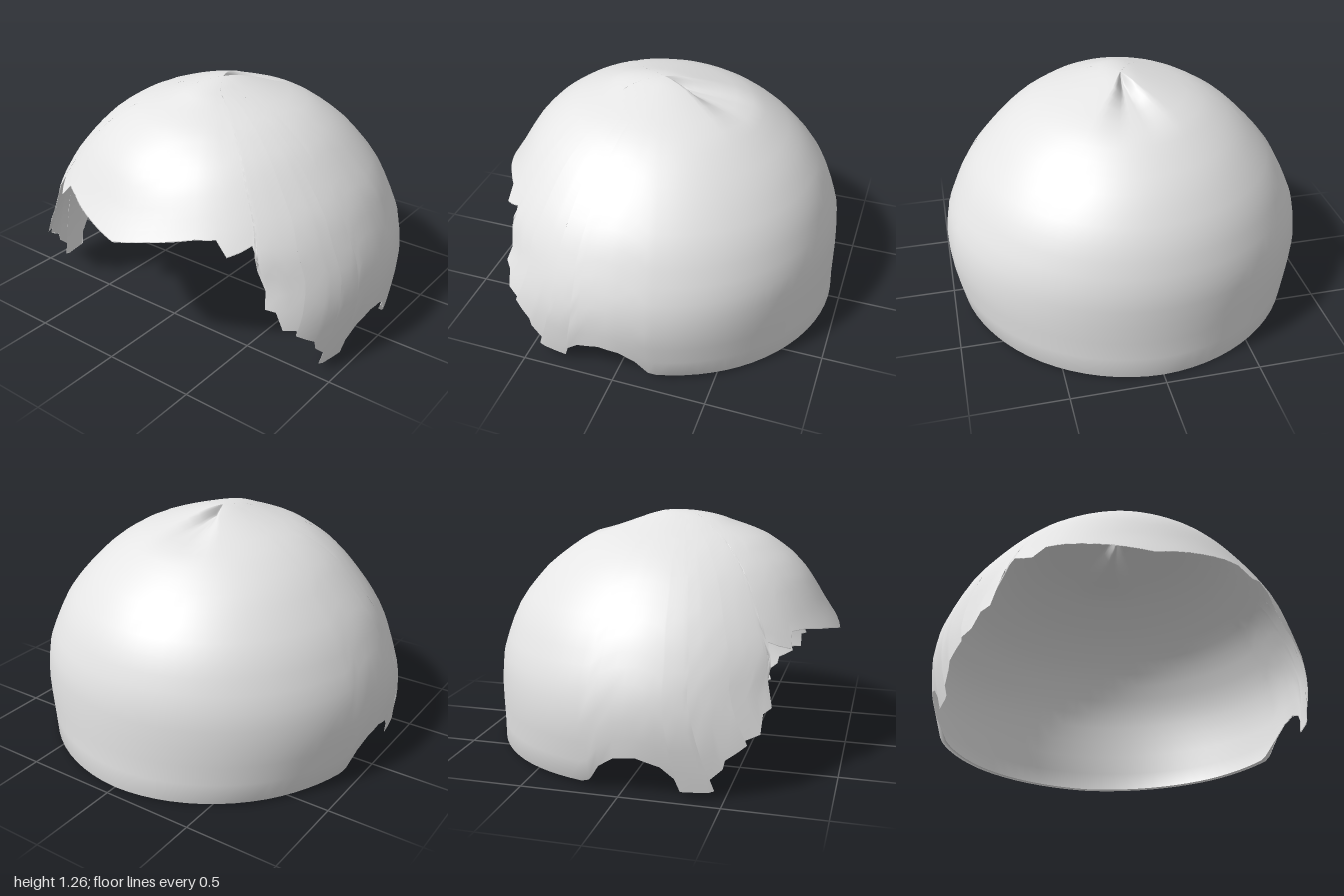
import * as THREE from 'three';

const TOP = 1.26, CZ = 0.05, ROWS = 22;

// Dome sections: height, half width, front z, back z
const sections = [
  [TOP, 0, 0.05, 0.05], [1.235, 0.13, 0.27, -0.12], [1.2, 0.25, 0.36, -0.23],
  [1.13, 0.45, 0.54, -0.43], [1.03, 0.61, 0.68, -0.58], [0.95, 0.695, 0.755, -0.68],
  [0.78, 0.845, 0.86, -0.82], [0.65, 0.915, 0.945, -0.88], [0.5, 0.98, 0.95, -0.925],
  [0.35, 1.0, 1.06, -0.935], [0.2, 0.985, 1.2, -0.935], [0.03, 0.95, 1.4, -0.935], [0, 0.945, 1.4, -0.94],
];

// Cut edge of the left half from brow to nape: z, y
const hem = [
  [0.945, 0.65], [0.9, 0.69], [0.8, 0.73], [0.745, 0.735], [0.75, 0.665], [0.7, 0.685], [0.65, 0.71],
  [0.66, 0.63], [0.67, 0.6], [0.66, 0.5], [0.69, 0.42], [0.655, 0.4], [0.65, 0.31], [0.585, 0.29],
  [0.595, 0.265], [0.5, 0.2], [0.49, 0.155], [0.43, 0.1], [0.45, 0.04], [0.42, 0.03], [0.29, 0.03],
  [0.265, 0.1], [0.2, 0.16], [0.08, 0.2], [-0.03, 0.185], [-0.11, 0.13], [-0.17, 0.04], [-0.21, 0.025],
  [-0.6, 0.012], [-0.95, 0],
];

const depth = (y) => Math.sqrt(Math.max(0, TOP - y));

function sectionAt(y) {
  const w = depth(y);
  let i = 1;
  while (i < sections.length - 1 && depth(sections[i][0]) < w) i++;
  const a = sections[i - 1], b = sections[i];
  const f = (w - depth(a[0])) / (depth(b[0]) - depth(a[0]));
  return [1, 2, 3].map((k) => THREE.MathUtils.lerp(a[k], b[k], f));
}

function hemAngle([z, y]) {
  const [, front, back] = sectionAt(y);
  const reach = z > CZ ? front - CZ : CZ - back;
  return Math.acos(THREE.MathUtils.clamp((z - CZ) / reach, -1, 1));
}

function domePoint(t, y) {
  const [wide, front, back] = sectionAt(y);
  const c = Math.cos(t);
  const x = wide * Math.sin(t), z = CZ + c * (c > 0 ? front - CZ : CZ - back);
  // Flat-bottomed wedge dent behind the crown
  const r = Math.hypot(x, z - CZ);
  const off = Math.abs(Math.PI - Math.abs(t));
  const across = THREE.MathUtils.clamp(1.6 * (1 - off / 0.5), 0, 1);
  const along = Math.min(1, r / 0.05) * THREE.MathUtils.clamp((0.5 - r) / 0.32, 0, 1);
  return [x, y - 0.05 * across * along, z];
}

// Subdivide the hem by angle, then mirror it into a full ring
function hemRing() {
  const half = [];
  const pts = hem.map((p) => [hemAngle(p), p[1]]);
  pts.slice(0, -1).forEach(([t, y], i) => {
    const [t2, y2] = pts[i + 1];
    const n = Math.max(1, Math.ceil(Math.abs(t2 - t) / 0.09));
    for (let k = 0; k < n; k++) half.push([t + (t2 - t) * k / n, y + (y2 - y) * k / n]);
  });
  const right = half.slice(1).map(([t, y]) => [-t, y]).reverse();
  return [...half, [Math.PI, hem[hem.length - 1][1]], ...right];
}

function capGeometry() {
  const ring = hemRing(), pos = [], index = [], stride = ROWS + 2;
  ring.forEach(([t, y]) => {
    for (let j = 0; j <= ROWS; j++) {
      const w = depth(y) * j / ROWS;
      pos.push(...domePoint(t, TOP - w * w));
    }
    // Narrow turned-in lip along the nape
    const [x, py, z] = domePoint(t, y);
    const lip = z < -0.15 ? 0.975 : 0.998;
    pos.push(x * lip, py + 0.004, z * lip);
  });
  for (let i = 0; i < ring.length; i++) {
    const p = i * stride, q = ((i + 1) % ring.length) * stride;
    for (let j = 0; j < stride - 1; j++) {
      if (j > 0) index.push(p + j, p + j + 1, q + j);
      index.push(p + j + 1, q + j + 1, q + j);
    }
  }
  const g = new THREE.BufferGeometry();
  g.setAttribute('position', new THREE.Float32BufferAttribute(pos, 3));
  g.setIndex(index);
  g.computeVertexNormals();
  return g;
}

export function createModel() {
  const group = new THREE.Group();
  group.name = 'hair';
  const paleGrey = new THREE.MeshStandardMaterial({ color: 0xe5e5e5, side: THREE.DoubleSide });
  paleGrey.name = 'pale grey';
  const cap = new THREE.Mesh(capGeometry(), paleGrey);
  cap.name = 'hairCap';
  group.add(cap);
  return group;
}
